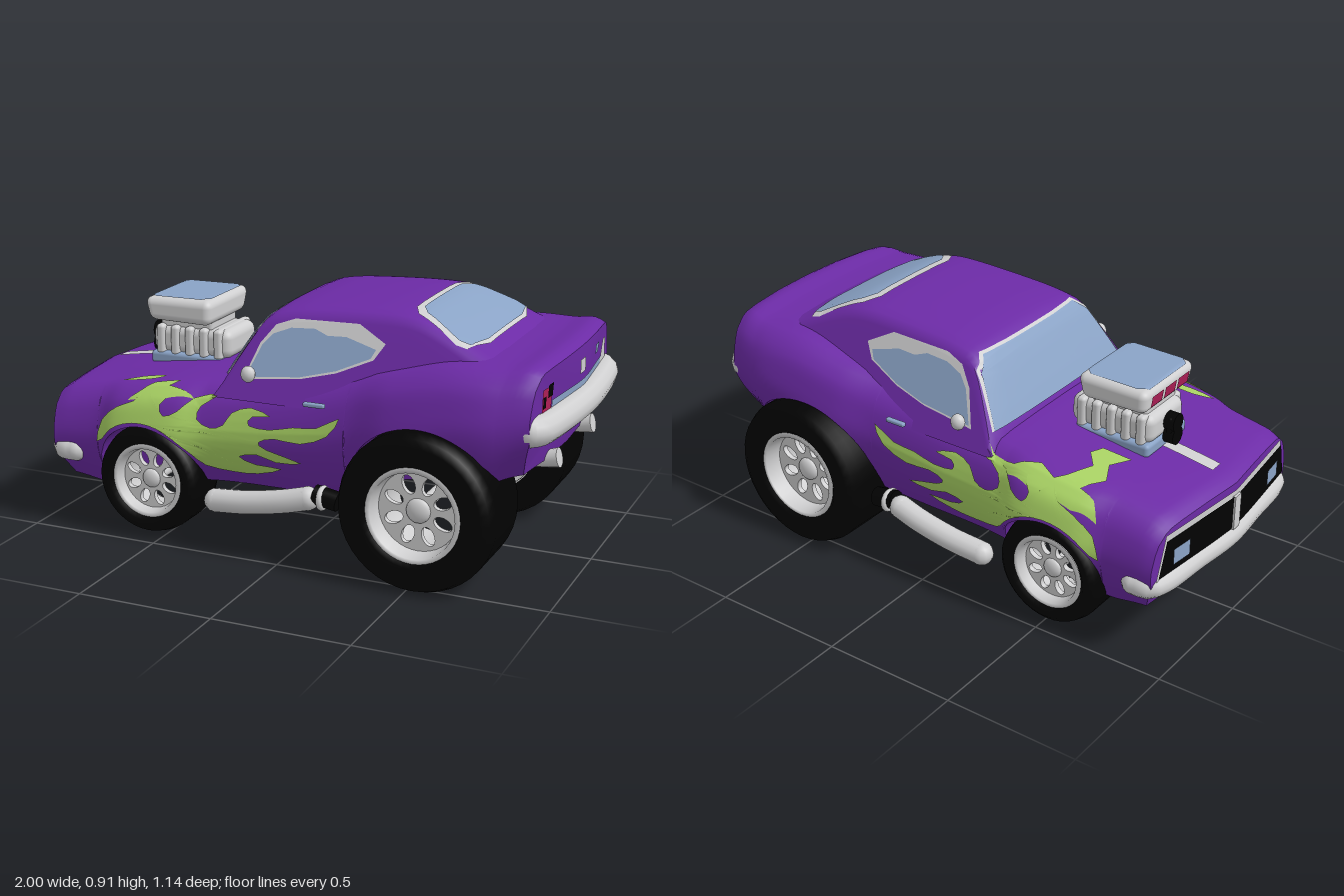
import * as THREE from 'three';
import { mergeVertices, toCreasedNormals } from 'three/addons/utils/BufferGeometryUtils.js';
import { RoundedBoxGeometry } from 'three/addons/geometries/RoundedBoxGeometry.js';

const mat = (name, color) => Object.assign(new THREE.MeshStandardMaterial({ color, side: THREE.DoubleSide }), { name });
const purple = mat('purple paint', 0x6c2ba6), green = mat('flame green', 0xa8d163), glass = mat('glass blue', 0x8aa3c6);
const chrome = mat('chrome grey', 0xcfcfd0), black = mat('rubber black', 0x020202), crimson = mat('lamp crimson', 0xb02058);

// smooth curve y(x) through key points
const keyed = (k) => (x) => {
  let i = 0;
  while (i < k.length - 2 && x > k[i + 1][0]) i++;
  const slope = (a, b) => (k[b][1] - k[a][1]) / (k[b][0] - k[a][0]);
  const tan = (j) => slope(Math.max(j - 1, 0), Math.min(j + 1, k.length - 1));
  const h = k[i + 1][0] - k[i][0], t = THREE.MathUtils.clamp((x - k[i][0]) / h, 0, 1), t2 = t * t, t3 = t2 * t;
  return (2 * t3 - 3 * t2 + 1) * k[i][1] + (t3 - 2 * t2 + t) * h * tan(i) + (3 * t2 - 2 * t3) * k[i + 1][1] + (t3 - t2) * h * tan(i + 1);
};

// skin of half sections [z, y] (bottom centre to top centre), mirrored in z, along x
function loft(xs, half, bend = (x) => x) {
  const pos = [], idx = [];
  let n = 0;
  for (const x of xs) {
    const h = half(x), ring = [...h, ...h.slice(1, -1).reverse().map(([z, y]) => [-z, y])];
    n = ring.length;
    for (const [z, y] of ring) pos.push(bend(x, z, y), y, z);
  }
  const last = (xs.length - 1) * n, c = xs.length * n;
  for (const x of [xs[0], xs.at(-1)]) {
    const h = half(x), y = (h[0][1] + h.at(-1)[1]) / 2;
    pos.push(bend(x, 0, y), y, 0);
  }
  for (let j = 0; j < n; j++) {
    const k = (j + 1) % n;
    for (let i = 0; i < last; i += n) idx.push(i + j, i + n + j, i + n + k, i + j, i + n + k, i + k);
    idx.push(c, j, k, c + 1, last + k, last + j);
  }
  const g = new THREE.BufferGeometry();
  g.setAttribute('position', new THREE.Float32BufferAttribute(pos, 3));
  g.setIndex(idx);
  return toCreasedNormals(g, 0.7);
}

// lower body: profile curves along the length, with round wheel arches
const top = keyed([[-0.95, 0.51], [-0.9, 0.537], [-0.6, 0.585], [-0.3, 0.62], [-0.1, 0.635], [0.2, 0.69], [0.4, 0.74], [0.6, 0.785], [0.8, 0.79], [0.88, 0.8], [0.92, 0.785]]);
const width = keyed([[-0.95, 0.465], [-0.8, 0.468], [-0.73, 0.475], [-0.65, 0.505], [-0.53, 0.515], [-0.4, 0.508], [-0.31, 0.475], [0, 0.465], [0.25, 0.475], [0.4, 0.51], [0.6, 0.52], [0.75, 0.515], [0.92, 0.475]]);
const sill = keyed([[-0.95, 0.19], [-0.75, 0.175], [-0.35, 0.24], [0.25, 0.265], [0.8, 0.395], [0.92, 0.43]]);
const floor = keyed([[-0.95, 0.18], [-0.8, 0.165], [-0.7, 0.19], [-0.3, 0.23], [0.25, 0.26], [0.5, 0.35], [0.8, 0.395], [0.92, 0.43]]);
const bulge = keyed([[0, 0.86], [0.25, 0.96], [0.5, 1], [0.7, 0.97], [0.85, 0.92], [0.94, 0.84]]);
const arches = [[-0.53, 0.23, 0.212], [0.53, 0.285, 0.288]];
function bodySection(x) {
  const T = top(x), W = width(x), S = sill(x), F = Math.min(floor(x), S);
  let A = S;
  for (const [cx, cy, r] of arches) if (Math.abs(x - cx) < r) A = Math.max(A, cy + Math.sqrt(r * r - (x - cx) ** 2));
  const pts = [[0, F], [0.24, F], [0.24, A]], crown = S + 0.94 * (T - S);
  for (let k = 0; k <= 10; k++) {
    const y = A + (crown - A) * k / 10;
    pts.push([W * bulge((y - S) / (T - S)), y]);
  }
  for (const [w, f] of [[0.78, 0.5], [0.65, 0.75], [0.35, 0.95], [0, 1]]) pts.push([W * w, crown + (T - crown) * f]);
  return pts;
}
// pointed nose with tucked chin, gently bowed tail with tucked valance
function bodyBend(x, z, y) {
  const nose = THREE.MathUtils.smoothstep(-x, 0.65, 0.95), tail = THREE.MathUtils.smoothstep(x, 0.7, 0.92);
  return x + tail * (0.02 - 0.04 * (z / 0.47) ** 2 - 0.35 * Math.max(0, 0.56 - y)) - nose * (0.028 - 0.05 * Math.abs(z / 0.47) - 0.5 * Math.max(0, 0.3 - y));
}

// cabin
const roof = keyed([[-0.27, 0.6], [-0.2, 0.73], [-0.12, 0.855], [-0.05, 0.885], [0.1, 0.902], [0.35, 0.912], [0.45, 0.902], [0.55, 0.865], [0.68, 0.805], [0.78, 0.765]]);
function cabinSection(x) {
  const T = roof(x), s = (y) => 0.43 - (y - 0.6) * 0.42, y1 = Math.max(0.575, T - 0.05), w = s(y1);
  const pts = [[0, 0.57]];
  for (let k = 0; k <= 6; k++) { const y = 0.57 + (y1 - 0.57) * k / 6; pts.push([s(y), y]); }
  return [...pts, [w * 0.97, T - 0.03], [w * 0.9, T - 0.016], [w * 0.78, T - 0.008], [w * 0.4, T - 0.001], [0, T]];
}

// thin painted plate: outline laid onto the targets from one side
const VIEWS = {
  left: [(a, b, d) => [a, b, d], 2, 1], right: [(a, b, d) => [a, b, d], 2, -1],
  nose: [(a, b, d) => [d, b, a], 0, -1], tail: [(a, b, d) => [d, b, a], 0, 1], above: [(a, b, d) => [a, d, b], 1, 1],
};
function drape(targets, view, outline, lift) {
  const [map, axis, sign] = VIEWS[view], ray = new THREE.Raycaster();
  const shape = new THREE.Shape(outline.map(([a, b]) => new THREE.Vector2(a, b)));
  const flat = new THREE.ShapeGeometry(shape).toNonIndexed(), p = flat.attributes.position;
  let tris = [];
  for (let i = 0; i < p.count; i += 3) tris.push([0, 1, 2].map((k) => [p.getX(i + k), p.getY(i + k)]));
  const mid = (a, b) => [(a[0] + b[0]) / 2, (a[1] + b[1]) / 2];
  for (let level = tris.length < 9 ? 4 : 3; level > 0; level--) {
    tris = tris.flatMap(([a, b, c]) => {
      const d = mid(a, b), e = mid(b, c), f = mid(c, a);
      return [[a, d, f], [d, b, e], [f, e, c], [d, e, f]];
    });
  }
  const flip = view === 'right' || view === 'tail' || view === 'above';
  let g = new THREE.BufferGeometry();
  g.setAttribute('position', new THREE.Float32BufferAttribute(tris.flatMap(([a, b, c]) => (flip ? [a, c, b] : [a, b, c]).flatMap(([u, v]) => map(u, v, 0))), 3));
  g = mergeVertices(g, 1e-5);
  const q = g.attributes.position, dir = new THREE.Vector3().setComponent(axis, -sign), o = new THREE.Vector3();
  let depth = 0;
  for (let i = 0; i < q.count; i++) {
    o.fromBufferAttribute(q, i).setComponent(axis, sign * 2);
    ray.set(o, dir);
    const hit = ray.intersectObjects(targets, false)[0];
    if (hit) depth = hit.point.getComponent(axis);
    q.setComponent(i, axis, depth + sign * lift);
  }
  g.computeVertexNormals();
  return g;
}
const mirrored = (half) => [...half, ...half.slice().reverse().map(([a, b]) => [-a, b])];
const rect = (a0, b0, a1, b1) => [[a0, b0], [a1, b0], [a1, b1], [a0, b1]];
const swap = (o) => o.map(([a, b]) => [b, a]);
const smooth = (o) => new THREE.SplineCurve([...o, o[0]].map((p) => new THREE.Vector2(...p))).getPoints(o.length * 2).slice(0, -1).map((v) => [v.x, v.y]);

export function createModel() {
  const car = new THREE.Group();
  car.name = 'hotRod';
  const add = (name, geo, m, x = 0, y = 0, z = 0, parent = car) => {
    const o = new THREE.Mesh(geo, m);
    o.name = name;
    o.position.set(x, y, z);
    parent.add(o);
    return o;
  };
  const tube = (name, pts, r, m) => {
    const v = pts.map((p) => new THREE.Vector3(...p));
    add(name, new THREE.TubeGeometry(new THREE.CatmullRomCurve3(v), 40, r, 12), m);
    for (const e of [v[0], v.at(-1)]) add(name + 'End', new THREE.SphereGeometry(r, 12, 8), m, e.x, e.y, e.z);
  };

  const xs = [...Array(94)].map((_, i) => -0.95 + 1.87 * i / 93);
  for (const [cx, , r] of arches) for (const s of [-1, 1]) xs.push(cx + s * (r + 0.001), cx + s * (r - 0.001), cx + s * (r - 0.006));
  const body = add('body', loft(xs.sort((a, b) => a - b), bodySection, bodyBend), purple);
  const cabin = add('cabin', loft([...Array(43)].map((_, i) => -0.27 + 1.05 * i / 42), cabinSection), purple);
  car.updateMatrixWorld(true);
  const paint = (name, view, outline, m, lift = 0.005, on = [body, cabin]) => add(name, drape(on, view, outline, lift), m);

  // side windows and flames
  const windowTrim = [[-0.165, 0.64], [-0.12, 0.765], [-0.07, 0.83], [0, 0.855], [0.24, 0.86], [0.345, 0.805], [0.31, 0.75], [0.18, 0.695], [0.05, 0.663]];
  const windowGlass = [[-0.155, 0.65], [-0.11, 0.76], [-0.075, 0.8], [-0.01, 0.825], [0.08, 0.83], [0.13, 0.812], [0.2, 0.815], [0.315, 0.785], [0.3, 0.755], [0.18, 0.703], [0.05, 0.67]];
  const flame = smooth([[-0.735, 0.355], [-0.71, 0.44], [-0.64, 0.5], [-0.57, 0.53], [-0.53, 0.57], [-0.43, 0.572], [-0.46, 0.53], [-0.44, 0.495], [-0.39, 0.515],
    [-0.34, 0.56], [-0.25, 0.578], [-0.31, 0.535], [-0.32, 0.49], [-0.27, 0.465], [-0.22, 0.48], [-0.19, 0.525], [-0.12, 0.55], [-0.04, 0.53],
    [-0.11, 0.52], [-0.12, 0.49], [-0.04, 0.485], [0.05, 0.505], [0.14, 0.515], [0.225, 0.56], [0.18, 0.49], [0.08, 0.45], [-0.02, 0.455],
    [-0.08, 0.435], [-0.05, 0.41], [0.08, 0.375], [-0.02, 0.365], [-0.09, 0.385], [-0.16, 0.37], [-0.1, 0.345], [0, 0.34], [-0.1, 0.305], [-0.2, 0.3], [-0.3, 0.315],
    [-0.345, 0.36], [-0.4, 0.415], [-0.46, 0.447], [-0.53, 0.457], [-0.6, 0.447], [-0.66, 0.417], [-0.705, 0.37]]);
  for (const side of ['left', 'right']) {
    paint(side + 'WindowTrim', side, windowTrim, chrome, 0.004);
    paint(side + 'Window', side, windowGlass, glass, 0.008);
    paint(side + 'Flame', side, flame, green, 0.009);
  }
  paint('hoodFlame', 'above', [[-0.71, -0.46], [-0.68, -0.43], [-0.62, -0.42], [-0.67, -0.34], [-0.63, -0.26], [-0.67, -0.18], [-0.56, -0.19], [-0.54, -0.24], [-0.59, -0.3], [-0.55, -0.4], [-0.52, -0.43], [-0.45, -0.4], [-0.36, -0.435], [-0.25, -0.42], [-0.3, -0.45], [-0.45, -0.48], [-0.62, -0.48]], green);
  paint('hoodFlameTip', 'above', smooth([[-0.67, 0.385], [-0.6, 0.35], [-0.51, 0.345], [-0.54, 0.38], [-0.62, 0.39]]), green);
  paint('fenderFlame', 'above', [[-0.6, 0.475], [-0.55, 0.44], [-0.52, 0.41], [-0.42, 0.395], [-0.45, 0.43], [-0.34, 0.45], [-0.45, 0.475]], green);
  paint('hoodStrip', 'above', rect(-0.9, -0.03, -0.7, 0.025), chrome);

  // windshield and rear window
  paint('windshieldTrim', 'nose', mirrored([[0.395, 0.642], [0.335, 0.82], [0.28, 0.862]]), chrome, 0.004);
  paint('windshield', 'nose', mirrored([[0.388, 0.644], [0.328, 0.812], [0.275, 0.856]]), glass, 0.008);
  paint('rearWindowTrim', 'above', swap(mirrored([[0.2, 0.4], [0.26, 0.43], [0.33, 0.59], [0.325, 0.63], [0.2, 0.67]])), chrome, 0.004);
  paint('rearWindow', 'above', swap(mirrored([[0.19, 0.425], [0.24, 0.455], [0.312, 0.595], [0.3, 0.635], [0.18, 0.658]])), glass, 0.008);

  // grille and tail panel
  paint('grilleFrame', 'nose', mirrored([[0.44, 0.325], [0.395, 0.485]]), chrome, 0.004);
  paint('grille', 'nose', mirrored([[0.432, 0.335], [0.395, 0.465]]), black, 0.008);
  add('grilleDivider', new THREE.BoxGeometry(0.03, 0.13, 0.04), chrome, -0.975, 0.4, 0);
  for (const s of [-1, 1]) paint('headlamp', 'nose', rect(s * 0.27, 0.36, s * 0.36, 0.42), glass, 0.012);
  paint('tailStrip', 'tail', rect(-0.3, 0.64, 0.3, 0.665), glass);
  paint('tailLamp', 'tail', rect(0.305, 0.64, 0.385, 0.72), crimson);
  paint('tailLampShade', 'tail', rect(0.305, 0.685, 0.345, 0.73), black, 0.008);
  paint('tailLampEdge', 'tail', rect(0.36, 0.655, 0.385, 0.695), black, 0.008);
  paint('tailLampPale', 'tail', [[-0.29, 0.64], [-0.39, 0.64], [-0.37, 0.72], [-0.32, 0.725]], chrome);
  paint('fuelCap', 'tail', rect(-0.015, 0.69, 0.045, 0.74), chrome);
  paint('tailBadge', 'tail', rect(-0.225, 0.705, -0.17, 0.74), glass);

  // bumpers
  const bumper = (name, y, r, half) => tube(name, [...half.map(([x, z]) => [x, y, -z]), ...half.slice(0, -1).reverse().map(([x, z]) => [x, y, z])], r, chrome);
  bumper('frontBumper', 0.295, 0.043, [[-0.85, 0.437], [-0.9, 0.433], [-0.922, 0.39], [-0.94, 0.2], [-0.957, 0]]);
  bumper('rearBumper', 0.588, 0.054, [[0.885, 0.425], [0.905, 0.405], [0.925, 0.3], [0.945, 0]]);

  // hollow wheels with recessed spokes
  const wheel = (name, x, y, z, R, w, rim) => {
    const g = new THREE.Group(), h = w / 2, face = h - w * 0.22;
    g.name = name;
    const lathe = (part, pts, m) => add(part, new THREE.LatheGeometry(pts.map((p) => new THREE.Vector2(...p)), 40).rotateX(Math.PI / 2), m, 0, 0, 0, g);
    lathe('tyre', [[rim, 0.02 - h], [rim + 0.02, -h], [R * 0.86, -h], [R * 0.95, 0.015 - h], [R, 0.05 - h], [R, h - 0.05], [R * 0.95, h - 0.015], [R * 0.86, h], [rim + 0.02, h], [rim, h - 0.02]], black);
    lathe('rim', [[rim + 0.006, h - 0.012], [rim - 0.012, h - 0.008], [rim - 0.02, face], [rim - 0.02, 0.06 - h], [rim + 0.005, 0.012 - h]], chrome);
    const disc = new THREE.Shape().absarc(0, 0, rim - 0.012, 0, Math.PI * 2);
    for (let i = 0; i < 8; i++) {
      const a = i * Math.PI / 4 + 0.39, d = rim * 0.58;
      disc.holes.push(new THREE.Path().absellipse(Math.cos(a) * d, Math.sin(a) * d, rim * 0.21, rim * 0.135, 0, Math.PI * 2, true, a));
    }
    add('spokes', new THREE.ExtrudeGeometry(disc, { depth: 0.02, bevelEnabled: false, curveSegments: 16 }), chrome, 0, 0, face - 0.02, g);
    add('hub', new THREE.SphereGeometry(rim * 0.27, 16, 8).scale(1, 1, 0.5), chrome, 0, 0, face, g);
    g.position.set(x, y, z);
    if (z < 0) g.rotation.y = Math.PI;
    car.add(g);
  };
  for (const s of [-1, 1]) {
    const side = s > 0 ? 'Left' : 'Right';
    wheel('front' + side + 'Wheel', -0.53, 0.23, s * 0.385, 0.203, 0.21, 0.133);
    wheel('rear' + side + 'Wheel', 0.53, 0.284, s * 0.408, 0.284, 0.325, 0.165);
    // side pipe, mirror, door handle and exhaust tip
    tube('sidePipe', [[-0.25, 0.197, s * 0.475], [-0.12, 0.21, s * 0.48], [0.02, 0.235, s * 0.48], [0.11, 0.257, s * 0.475]], 0.043, chrome);
    add('pipeEnd', new THREE.CylinderGeometry(0.036, 0.036, 0.09, 14).rotateZ(1.4), black, 0.18, 0.267, s * 0.47);
    add('pipeClamp', new THREE.TorusGeometry(0.034, 0.012, 8, 16).rotateY(Math.PI / 2), chrome, 0.165, 0.265, s * 0.47);
    add('mirror', new THREE.SphereGeometry(0.03, 12, 8).scale(0.9, 1, 0.8), chrome, -0.13, 0.67, s * 0.445);
    add('doorHandle', new RoundedBoxGeometry(0.08, 0.016, 0.02, 2, 0.006), glass, 0.13, 0.595, s * 0.465);
    add('exhaustTip', new THREE.CylinderGeometry(0.035, 0.022, 0.12, 14).rotateZ(-1.35), chrome, 0.87, 0.425, s * 0.21);
  }
  // axles
  for (const [x, y] of [[-0.53, 0.23], [0.53, 0.29]]) {
    add('axle', new THREE.CylinderGeometry(0.024, 0.024, 0.84, 12).rotateX(Math.PI / 2), chrome, x, y, 0);
    add('axleSleeve', new THREE.CylinderGeometry(0.032, 0.032, 0.26, 12).rotateX(Math.PI / 2), black, x, y, 0);
  }
  add('differential', new THREE.SphereGeometry(0.065, 16, 12).scale(1, 0.75, 1.1), chrome, 0.53, 0.3, 0);

  // supercharger on the hood
  add('engineBase', new RoundedBoxGeometry(0.3, 0.05, 0.26, 2, 0.015), glass, -0.55, 0.59, 0);
  add('blower', new RoundedBoxGeometry(0.33, 0.11, 0.23, 3, 0.035), chrome, -0.535, 0.66, 0);
  for (let i = 0; i < 5; i++) add('blowerRib', new RoundedBoxGeometry(0.035, 0.116, 0.255, 2, 0.014), chrome, -0.66 + i * 0.06, 0.66, 0);
  add('scoopNeck', new RoundedBoxGeometry(0.22, 0.06, 0.2, 2, 0.015), chrome, -0.56, 0.73, 0);
  for (const y of [0.615, 0.665]) add('pulley', new THREE.CylinderGeometry(0.034, 0.034, 0.04, 16).rotateZ(Math.PI / 2), black, -0.72, y, 0);
  add('driveBelt', new RoundedBoxGeometry(0.025, 0.1, 0.06, 2, 0.01), black, -0.72, 0.64, 0);
  const scoopGeo = new RoundedBoxGeometry(0.28, 0.095, 0.335, 4, 0.03), sp = scoopGeo.attributes.position;
  for (let i = 0; i < sp.count; i++) { // narrower below and to the front
    const k = 1 - 0.1 * (0.5 - sp.getY(i) / 0.095);
    sp.setXYZ(i, sp.getX(i) * k, sp.getY(i) * (1 + 0.3 * sp.getX(i)), sp.getZ(i) * k);
  }
  const scoop = add('scoop', scoopGeo, chrome, -0.565, 0.783, 0);
  scoop.updateMatrixWorld(true);
  paint('scoopTop', 'above', [[-0.69, -0.12], [-0.66, -0.145], [-0.47, -0.145], [-0.445, -0.12], [-0.445, 0.12], [-0.47, 0.145], [-0.66, 0.145], [-0.69, 0.12]], glass, 0.004, [scoop]);
  for (const z of [-0.085, 0, 0.085]) paint('scoopIntake', 'nose', rect(z - 0.036, 0.762, z + 0.036, 0.805), crimson, 0.004, [scoop]);
  return car;
}
